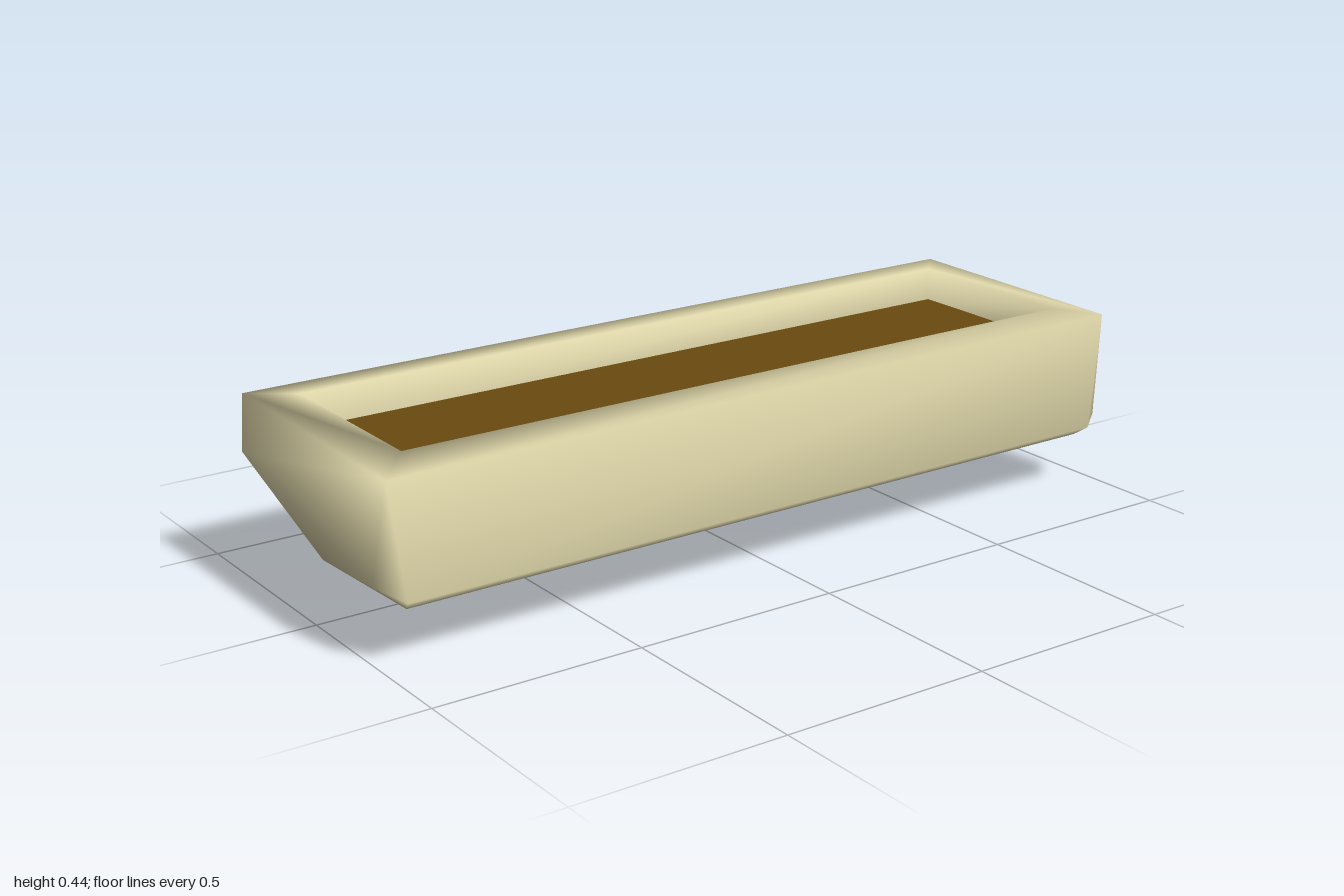
import * as THREE from 'three';
import { mergeVertices } from 'three/addons/utils/BufferGeometryUtils.js';

// Closed loops of equal length, bottom to top, joined with smooth walls
function loft(rings) {
  const n = rings[0].length;
  const index = [];
  for (let r = 0; r < rings.length - 1; r++) {
    for (let i = 0; i < n; i++) {
      const j = (i + 1) % n;
      const a = r * n + i, b = r * n + j, c = b + n, d = a + n;
      index.push(a, b, c, a, c, d);
    }
  }
  // cap under the first loop
  for (let i = 1; i < n - 1; i++) index.push(0, i + 1, i);
  const geometry = new THREE.BufferGeometry();
  geometry.setAttribute('position', new THREE.Float32BufferAttribute(rings.flat(2), 3));
  geometry.setIndex(index);
  const merged = mergeVertices(geometry, 1e-4);
  merged.computeVertexNormals();
  return merged;
}

// Four corners, with the two +x corners doubled to meet the chamfered loop
const doubled = ([a, b, c, d]) => [a, b, b, c, c, d];
const rectangle = (x, y, z) => doubled([[-x, y, z], [x, y, z], [x, y, -z], [-x, y, -z]]);

export function createModel() {
  const model = new THREE.Group();
  model.name = 'planterTrough';

  const stone = new THREE.MeshStandardMaterial({ color: 0xded6a9 });
  stone.name = 'pale stone';
  const earth = new THREE.MeshStandardMaterial({ color: 0x6a490f });
  earth.name = 'brown earth';

  // Rough-hewn trough: slanted base, chipped lower edges, rim, inner walls
  const trough = new THREE.Mesh(loft([
    doubled([[-0.325, 0, 0.82], [0.28, 0.118, 0.93], [0.28, 0.12, -0.95], [-0.325, 0, -0.85]]),
    [
      [-0.325, 0.3, 1], [0.27, 0.18, 1], [0.325, 0.15, 0.95],
      [0.325, 0.15, -0.95], [0.29, 0.167, -1], [-0.325, 0.27, -1],
    ],
    doubled([[-0.325, 0.433, 0.99], [0.318, 0.42, 0.985], [0.318, 0.432, -0.985], [-0.325, 0.433, -0.99]]),
    rectangle(0.23, 0.44, 0.9),
    rectangle(0.225, 0.35, 0.9),
  ]), stone);
  trough.name = 'trough';
  model.add(trough);

  // Soil surface, sunk below the rim
  const soil = new THREE.Mesh(new THREE.PlaneGeometry(0.452, 1.8).rotateX(-Math.PI / 2), earth);
  soil.name = 'soil';
  soil.position.y = 0.36;
  model.add(soil);

  return model;
}
